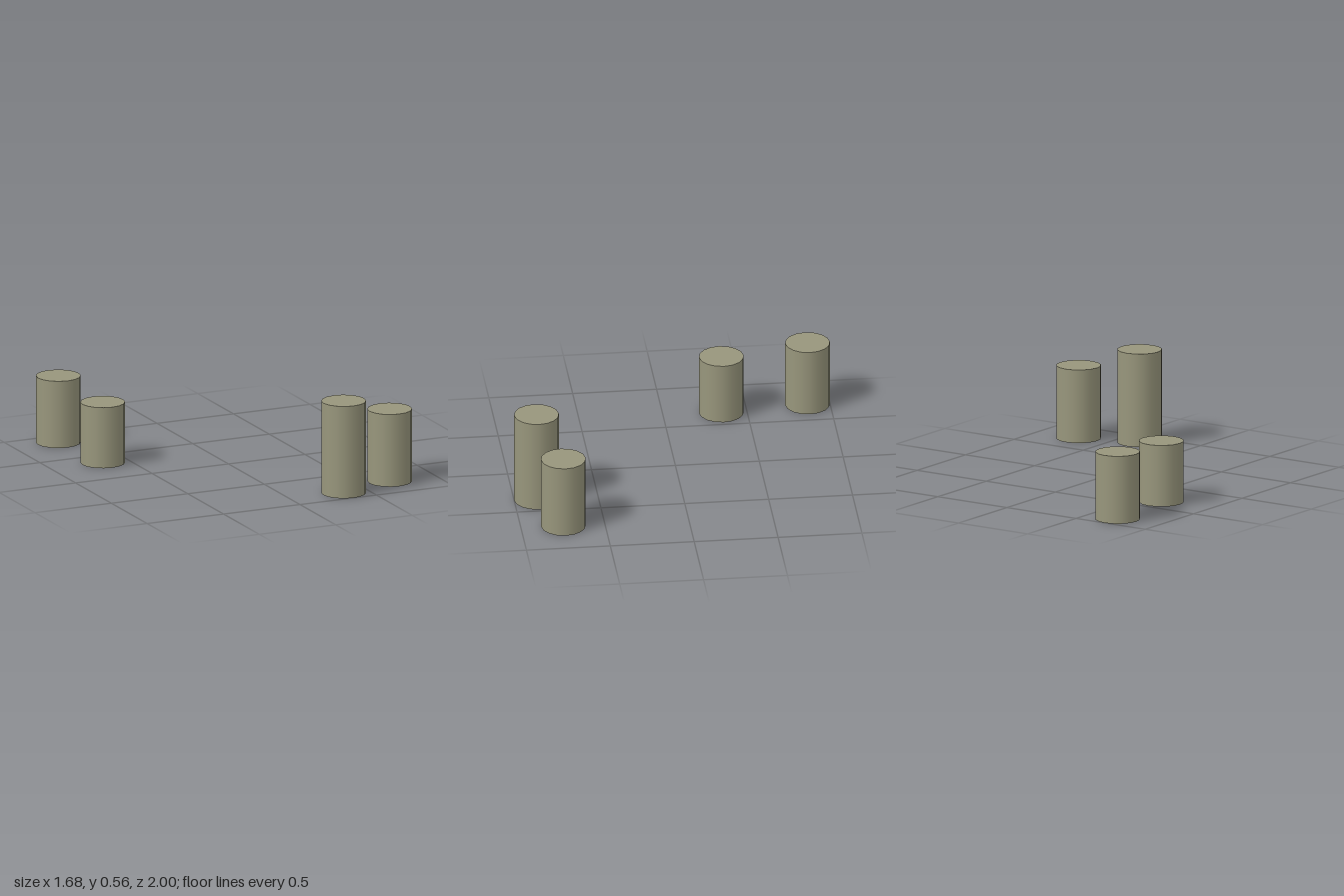
import * as THREE from 'three';

const RADIUS = 0.133;

// name, x, z, height of each post
const POSTS = [
  ['backPost', -0.708, -0.867, 0.41],
  ['middlePost', -0.66, -0.348, 0.372],
  ['tallFrontPost', 0.348, 0.867, 0.565],
  ['shortFrontPost', 0.705, 0.747, 0.444],
];

export function createModel() {
  const group = new THREE.Group();
  group.name = 'posts';
  const material = new THREE.MeshStandardMaterial({ color: 0x98967c });

  // Capped round posts standing on the ground
  for (const [name, x, z, height] of POSTS) {
    const post = new THREE.Mesh(new THREE.CylinderGeometry(RADIUS, RADIUS, height, 16), material);
    post.name = name;
    post.position.set(x, height / 2, z);
    group.add(post);
  }
  return group;
}
